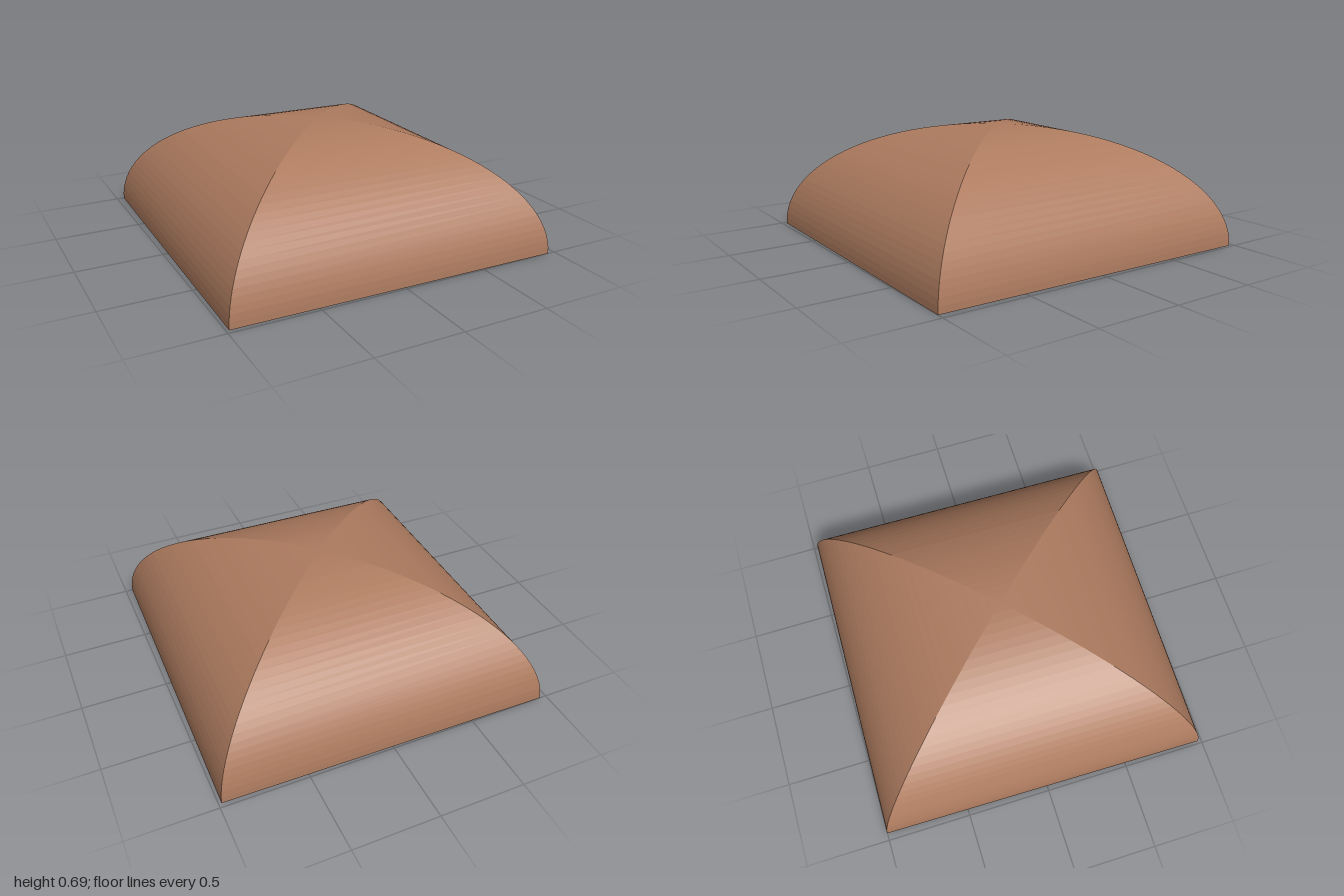
import * as THREE from 'three';

const HEIGHT = 0.687;
const STEPS = 28;

// One curved vault panel rising from base edge a-b to the apex along an ellipse
function panelGeometry(a, b) {
  const positions = [];
  const index = [];
  for (let i = 0; i <= STEPS; i++) {
    const t = (i / STEPS) * Math.PI / 2;
    const s = Math.cos(t);
    const y = HEIGHT * Math.sin(t);
    positions.push(a[0] * s, y, a[1] * s, b[0] * s, y, b[1] * s);
  }
  for (let i = 0; i < STEPS; i++) {
    const k = i * 2;
    index.push(k, k + 1, k + 3);
    if (i < STEPS - 1) index.push(k, k + 3, k + 2);
  }
  const geometry = new THREE.BufferGeometry();
  geometry.setAttribute('position', new THREE.Float32BufferAttribute(positions, 3));
  geometry.setIndex(index);
  geometry.computeVertexNormals();
  return geometry;
}

export function createModel() {
  const model = new THREE.Group();
  model.name = 'vaultedRoof';

  const clay = new THREE.MeshStandardMaterial({ color: 0xad7b5f, side: THREE.DoubleSide, flatShading: true });
  clay.name = 'clay brown';

  // Base corners, slightly turned about the vertical axis
  const corners = [[-0.984, 0.974], [0.957, 1], [0.984, -0.974], [-0.957, -1]];
  const names = ['frontPanel', 'leftPanel', 'backPanel', 'rightPanel'];

  // Four open shell panels meeting at the hips
  names.forEach((name, i) => {
    const panel = new THREE.Mesh(panelGeometry(corners[i], corners[(i + 1) % 4]), clay);
    panel.name = name;
    model.add(panel);
  });

  return model;
}
